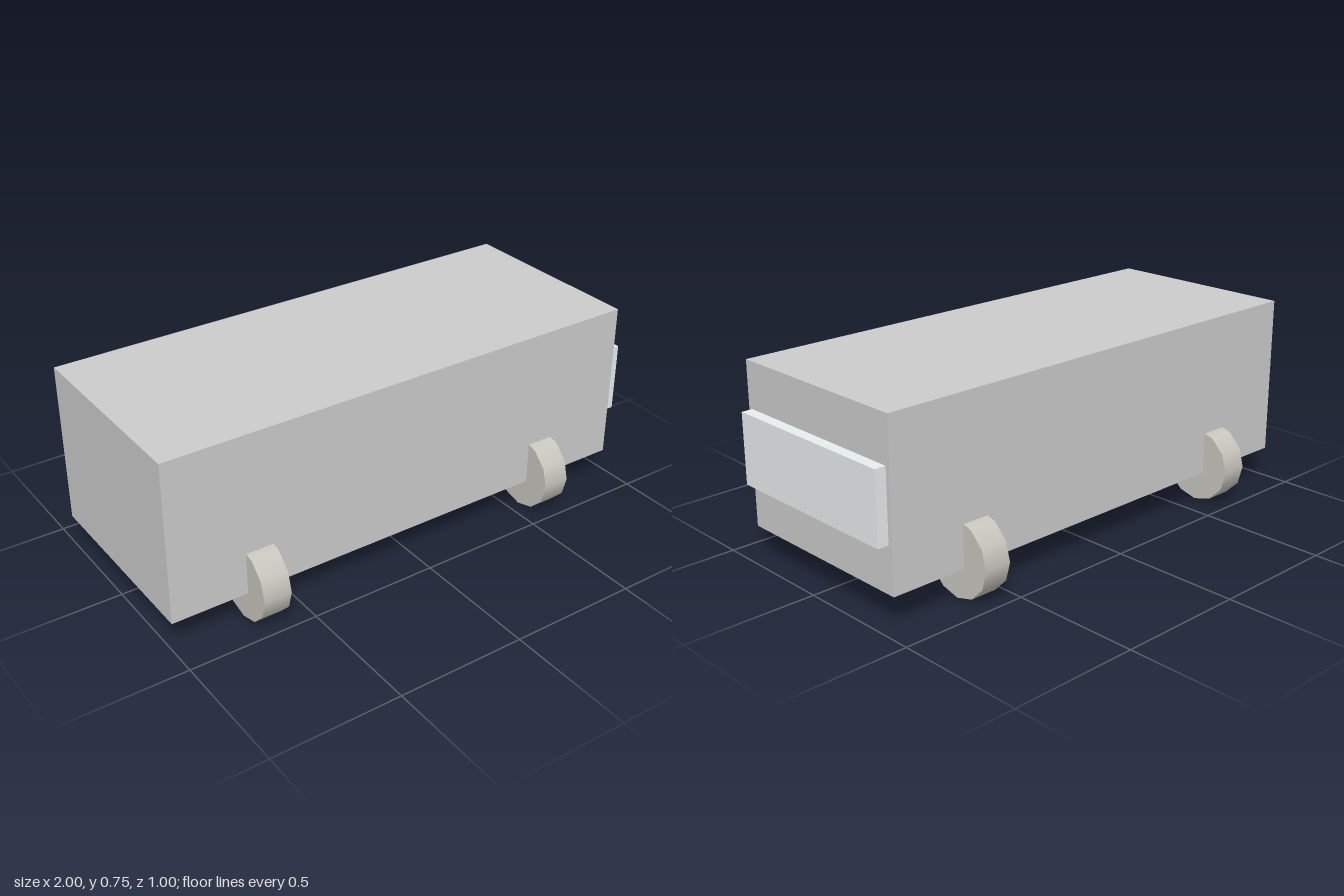
import * as THREE from 'three';

const material = (color) => new THREE.MeshStandardMaterial({ color });

// Box given by its minimum and maximum corners
function box(name, min, max, mat) {
  const size = max.map((v, i) => v - min[i]);
  const mesh = new THREE.Mesh(new THREE.BoxGeometry(...size), mat);
  mesh.position.set(...max.map((v, i) => (v + min[i]) / 2));
  mesh.name = name;
  return mesh;
}

export function createModel() {
  const model = new THREE.Group();
  model.name = 'van';

  // Plain box body and the windscreen panel standing proud of its +x end
  model.add(box('body', [-1, 0.12, -0.39], [0.957, 0.745, 0.39], material(0xcccccc)));
  model.add(box('windscreen', [0.94, 0.297, -0.372], [1, 0.568, 0.372], material(0xe8eded)));

  // Four twelve-sided wheels, partly sunk into the body
  const radius = 0.147;
  const wheelGeometry = new THREE.CylinderGeometry(radius, radius, 0.108, 12).rotateZ(Math.PI / 2);
  const wheelMaterial = material(0xc8c6be);
  for (const [end, x] of [['front', 0.604], ['rear', -0.651]]) {
    for (const side of [1, -1]) {
      const wheel = new THREE.Mesh(wheelGeometry, wheelMaterial);
      wheel.name = `${end}Wheel${side > 0 ? 'A' : 'B'}`;
      wheel.position.set(x, radius, side * 0.353);
      model.add(wheel);
    }
  }
  return model;
}
